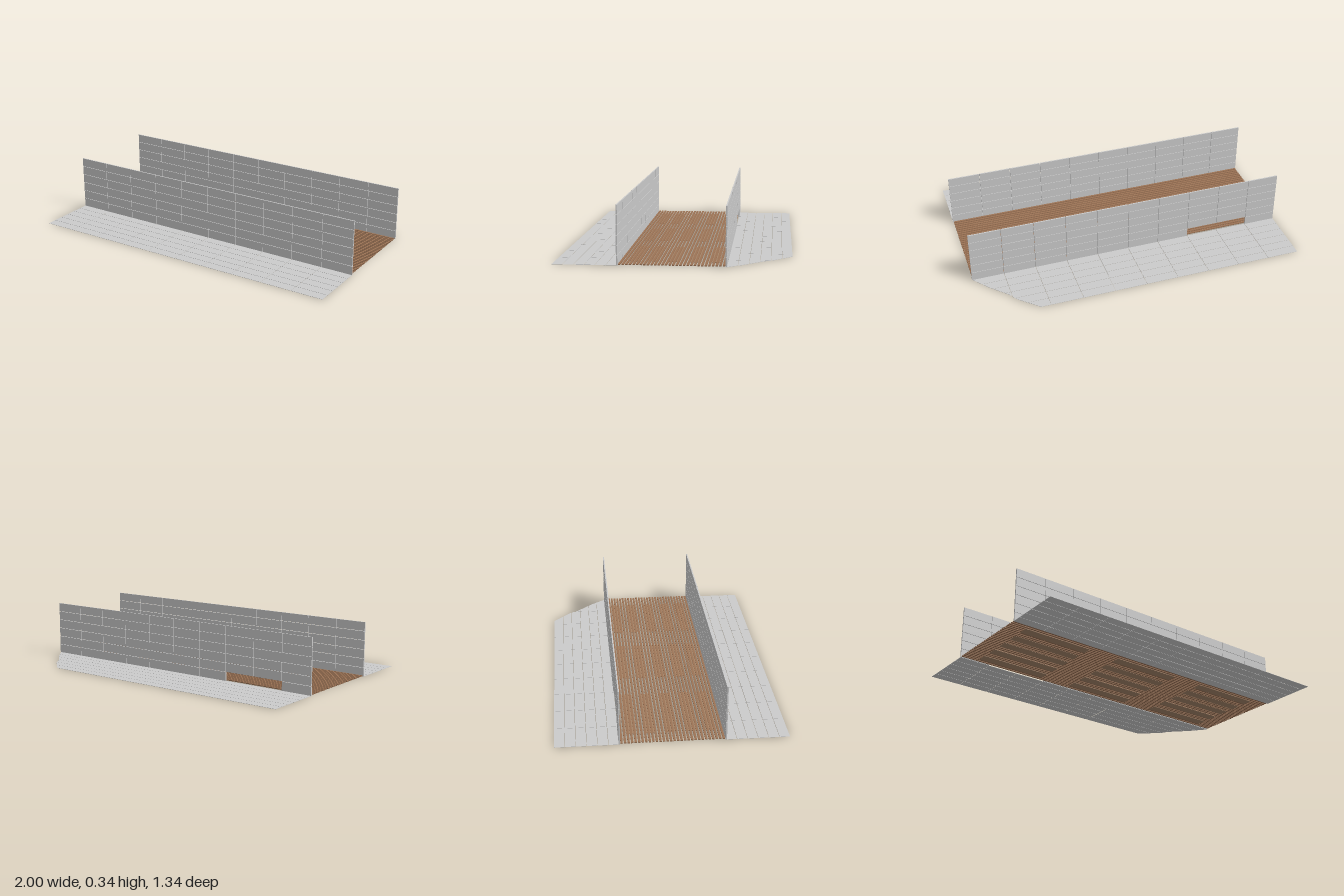
import * as THREE from 'three';
import { mergeGeometries } from 'three/addons/utils/BufferGeometryUtils.js';

const COLS = 10, ROWS = 6, GAP = 0.0025, WALL_H = 0.34, WALL_T = 0.008;
const INNER = 0.303, OUTER = 0.67;

const grey = new THREE.MeshStandardMaterial({ color: 0xcccccc, side: THREE.DoubleSide });
const brown = new THREE.MeshStandardMaterial({ color: 0x9c7355 });
const tan = new THREE.MeshStandardMaterial({ color: 0xa58468 });

function box(w, h, d, x, y, z) {
  return new THREE.BoxGeometry(w, h, d).translate(x, y, z);
}

function addMesh(group, name, parts, material) {
  const mesh = new THREE.Mesh(mergeGeometries(parts), material);
  mesh.name = name;
  group.add(mesh);
}

// Wall of separate blocks; skip(col, row) leaves an opening
function wallBlocks(z, skip) {
  const parts = [], w = 2 / COLS, h = WALL_H / ROWS;
  for (let c = 0; c < COLS; c++) {
    for (let r = 0; r < ROWS; r++) {
      if (skip(c, r)) continue;
      parts.push(box(w - GAP, h - GAP, WALL_T, -1 + (c + 0.5) * w, (r + 0.5) * h, z));
    }
  }
  return parts;
}

// Broken edge of the back paving: largest x at a distance from the centre line
const brokenEdge = [[0.30, 1], [0.40, 0.92], [0.50, 0.82], [0.56, 0.78], [0.67, 0.66]];
function edgeAt(d) {
  for (let i = 1; i < brokenEdge.length; i++) {
    const [d0, x0] = brokenEdge[i - 1], [d1, x1] = brokenEdge[i];
    if (d <= d1) return x0 + (x1 - x0) * (d - d0) / (d1 - d0);
  }
  return brokenEdge[brokenEdge.length - 1][1];
}

// Flat paving slabs on one side, trimmed to a limit in x
function pavingSlabs(side, limit) {
  const parts = [], w = 2 / COLS, h = (OUTER - INNER) / ROWS, steps = 4;
  for (let c = 0; c < COLS; c++) {
    for (let r = 0; r < ROWS; r++) {
      const x0 = -1 + c * w + GAP / 2, x1 = x0 + w - GAP;
      const d0 = INNER + r * h + GAP / 2, d1 = d0 + h - GAP;
      if (limit(d0) <= x0) continue;
      const outline = [];
      for (let i = 0; i <= steps; i++) {
        const d = d0 + (d1 - d0) * i / steps;
        const x = Math.min(x1, limit(d));
        if (x > x0) outline.push(new THREE.Vector2(x, -side * d));
      }
      const last = outline[outline.length - 1].y;
      outline.push(new THREE.Vector2(x0, last), new THREE.Vector2(x0, -side * d0));
      const slab = new THREE.ExtrudeGeometry(new THREE.Shape(outline), { depth: 0.0015, bevelEnabled: false });
      parts.push(slab.rotateX(-Math.PI / 2));
    }
  }
  return parts;
}

export function createModel() {
  const group = new THREE.Group();
  group.name = 'walledWalkway';

  // Walls, with a low opening at the foot of the back one
  addMesh(group, 'frontWall', wallBlocks(INNER, () => false), grey);
  addMesh(group, 'backWall', wallBlocks(-INNER, (c, r) => r === 0 && (c === 1 || c === 2)), grey);

  // Paving outside the walls
  addMesh(group, 'frontPaving', pavingSlabs(1, () => 1), grey);
  addMesh(group, 'backPaving', pavingSlabs(-1, edgeAt), grey);

  // Long floor slats between the walls
  const slats = [], count = 30, pitch = 0.6 / count;
  for (let i = 0; i < count; i++) {
    slats.push(box(1.99, 0.006, pitch * 0.62, 0, 0.006, -0.3 + (i + 0.5) * pitch));
  }
  addMesh(group, 'floorSlats', slats, brown);

  // Short boards beneath the slats, in three columns
  const boards = [];
  for (const x of [-0.665, -0.005, 0.655]) {
    for (let r = -2; r <= 2; r++) boards.push(box(0.45, 0.003, 0.06, x, 0.0025, r * 0.115));
  }
  addMesh(group, 'underBoards', boards, tan);

  return group;
}
